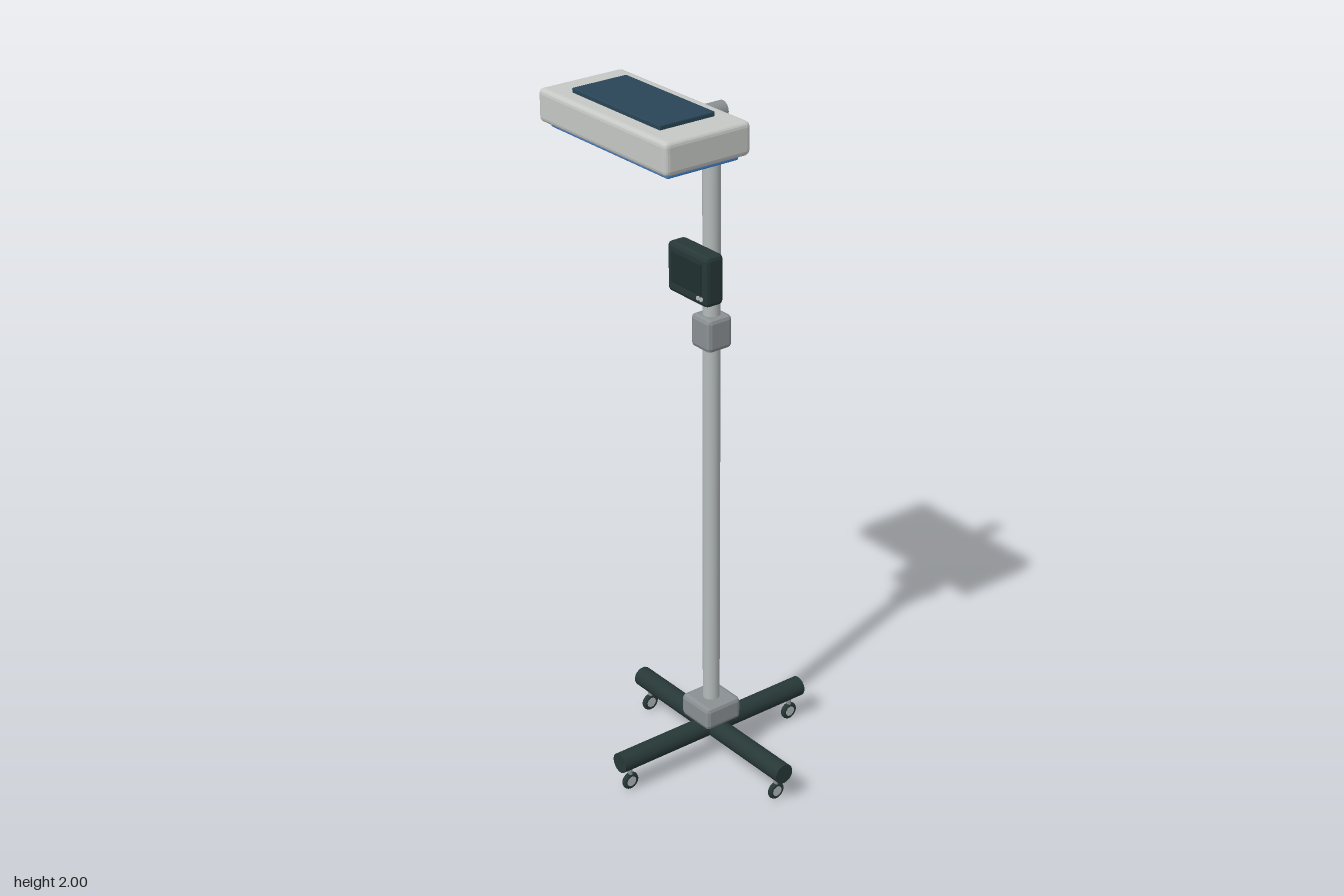
import * as THREE from 'three';
import { RoundedBoxGeometry } from 'three/addons/geometries/RoundedBoxGeometry.js';

const mat = (name, color) => {
  const m = new THREE.MeshStandardMaterial({ color });
  m.name = name;
  return m;
};

export function createModel() {
  const root = new THREE.Group();
  root.name = 'mobileLampStand';

  const shell = mat('lightGreyShell', 0xc6c8c6);
  const steel = mat('paleSteel', 0xb4baba);
  const joint = mat('midGreyJoint', 0x8a9093);
  const dark = mat('darkGreenGrey', 0x273837);
  const screenMat = mat('darkScreen', 0x20302f);
  const panelBlue = mat('slateBluePanel', 0x294557);
  const lensBlue = mat('blueLens', 0x3f7fd0);

  const Z = -0.014; // centre line of the pole

  const add = (name, geometry, material, x, y, z, parent = root) => {
    const mesh = new THREE.Mesh(geometry, material);
    mesh.name = name;
    mesh.position.set(x, y, z);
    parent.add(mesh);
    return mesh;
  };

  // Box with faceted, bevelled edges
  const bevelBox = (w, h, d, r, segments = 1) => {
    const g = new RoundedBoxGeometry(w, h, d, segments, r);
    g.computeVertexNormals();
    return g;
  };

  // Round bar along the x or z axis
  const bar = (r, length, axis) => {
    const g = new THREE.CylinderGeometry(r, r, length, 24);
    return axis === 'x' ? g.rotateZ(Math.PI / 2) : g.rotateX(Math.PI / 2);
  };

  // Crossed foot bars
  add('footBarSideways', bar(0.029, 0.646, 'x'), dark, 0, 0.098, Z);
  add('footBarLengthwise', bar(0.029, 0.646, 'z'), dark, 0, 0.098, Z);

  // One caster under each bar end
  const R = 0.288;
  for (const [x, z] of [[R, 0], [-R, 0], [0, R], [0, -R]]) {
    const caster = new THREE.Group();
    caster.name = 'caster';
    caster.position.set(x, 0, Z + z);
    add('casterStem', new THREE.CylinderGeometry(0.007, 0.007, 0.04, 12), joint, 0, 0.056, 0, caster);
    add('casterTyre', new THREE.TorusGeometry(0.018, 0.008, 10, 24).rotateY(Math.PI / 2), dark, 0, 0.027, 0, caster);
    add('casterHub', bar(0.015, 0.015, 'x'), steel, 0, 0.027, 0, caster);
    root.add(caster);
  }

  // Upright pole with its base block and height collar
  add('baseBlock', bevelBox(0.12, 0.068, 0.12, 0.012), joint, 0, 0.159, Z);
  add('pole', new THREE.CylinderGeometry(0.024, 0.024, 1.7, 24), steel, 0, 1.01, Z);
  add('heightCollar', bevelBox(0.08, 0.094, 0.08, 0.012), joint, 0, 1.322, Z);

  // Control box on the front of the pole
  add('controlBox', bevelBox(0.166, 0.14, 0.058, 0.012), dark, 0, 1.5, 0.039);
  add('controlScreen', bevelBox(0.124, 0.088, 0.009, 0.003), screenMat, 0, 1.506, 0.068);
  for (const x of [0.05, 0.063]) {
    add('controlButton', bar(0.006, 0.006, 'z'), steel, x, 1.452, 0.069);
  }

  // Lamp head on its short arm
  add('headArm', bar(0.024, 0.14, 'z'), joint, 0, 1.921, 0.02);
  add('headShell', bevelBox(0.526, 0.088, 0.262, 0.014, 2), shell, 0, 1.944, 0.202);
  add('topPanel', bevelBox(0.36, 0.02, 0.168, 0.003), panelBlue, 0, 1.99, 0.202);
  add('lens', bevelBox(0.48, 0.02, 0.216, 0.003), lensBlue, 0, 1.897, 0.202);

  return root;
}
